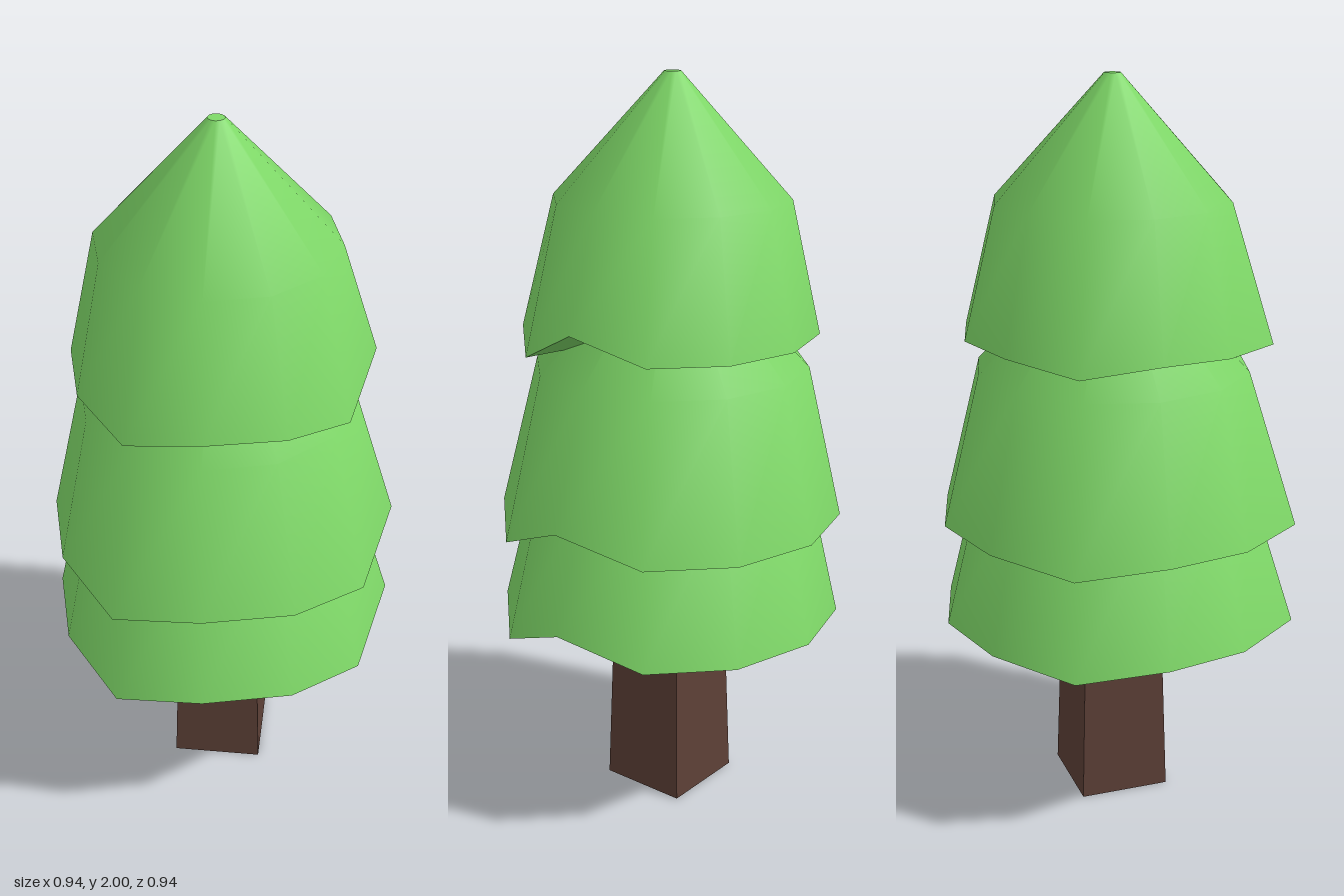
import * as THREE from 'three';

const SIDES = 12;
// Height of each rim corner relative to its tier, going from +x towards +z
const RIM_DROP = [0.06, -0.04, -0.005, 0, -0.025, -0.01, 0, -0.03, 0, 0, 0, 0];

// A closed foliage tier: uneven rim, shoulder ring, small flat tip
function tierGeometry({ rimR, rimY, shoulderR, shoulderY, tipY }) {
  const pos = [], index = [];
  const addRing = (r, y, cx, uneven) => {
    const start = pos.length / 3;
    for (let i = 0; i < SIDES; i++) {
      const a = (i / SIDES) * Math.PI * 2;
      const stretch = uneven && i === 4 ? 1.11 : 1; // one corner of the rim is pulled forward
      pos.push(cx + r * Math.cos(a), y + (uneven ? RIM_DROP[i] : 0), r * Math.sin(a) * stretch);
    }
    return start;
  };
  const addCap = (ring, y, cx, up) => {
    const c = pos.length / 3;
    pos.push(cx, y, 0);
    for (let i = 0; i < SIDES; i++) {
      const a = ring + i, b = ring + (i + 1) % SIDES;
      index.push(c, up ? b : a, up ? a : b);
    }
  };

  // Smooth sides
  const rings = [
    addRing(rimR, rimY, 0, true),
    addRing(shoulderR, shoulderY, -0.01, false),
    addRing(0.022, tipY, -0.013, false),
  ];
  for (let k = 0; k < 2; k++) {
    for (let i = 0; i < SIDES; i++) {
      const j = (i + 1) % SIDES, l = rings[k], u = rings[k + 1];
      index.push(l + i, u + i, l + j, u + i, u + j, l + j);
    }
  }

  // Underside and tip use their own corners so the edges stay sharp
  addCap(addRing(rimR, rimY, 0, true), rimY - 0.005, 0, false);
  addCap(addRing(0.022, tipY, -0.013, false), tipY, -0.013, true);

  const geo = new THREE.BufferGeometry();
  geo.setAttribute('position', new THREE.Float32BufferAttribute(pos, 3));
  geo.setIndex(index);
  geo.computeVertexNormals();
  return geo;
}

export function createModel() {
  const tree = new THREE.Group();
  tree.name = 'tree';

  const bark = new THREE.MeshStandardMaterial({ color: 0x5d4037, flatShading: true });
  const leaves = new THREE.MeshStandardMaterial({ color: 0x7fd968 });

  // Square tapered trunk
  const trunkH = 0.65;
  const trunkGeo = new THREE.CylinderGeometry(0.107 * Math.SQRT2, 0.125 * Math.SQRT2, trunkH, 4);
  trunkGeo.rotateY(Math.PI / 4);
  trunkGeo.translate(0, trunkH / 2, 0);
  const trunk = new THREE.Mesh(trunkGeo, bark);
  trunk.name = 'trunk';
  tree.add(trunk);

  // Three stacked foliage tiers
  const tiers = {
    lowerFoliage: { rimR: 0.47, rimY: 0.54, shoulderR: 0.37, shoulderY: 0.95, tipY: 1.3 },
    middleFoliage: { rimR: 0.47, rimY: 0.825, shoulderR: 0.37, shoulderY: 1.235, tipY: 1.59 },
    upperFoliage: { rimR: 0.4, rimY: 1.33, shoulderR: 0.315, shoulderY: 1.68, tipY: 2 },
  };
  for (const [name, spec] of Object.entries(tiers)) {
    const tier = new THREE.Mesh(tierGeometry(spec), leaves);
    tier.name = name;
    tree.add(tier);
  }
  return tree;
}
